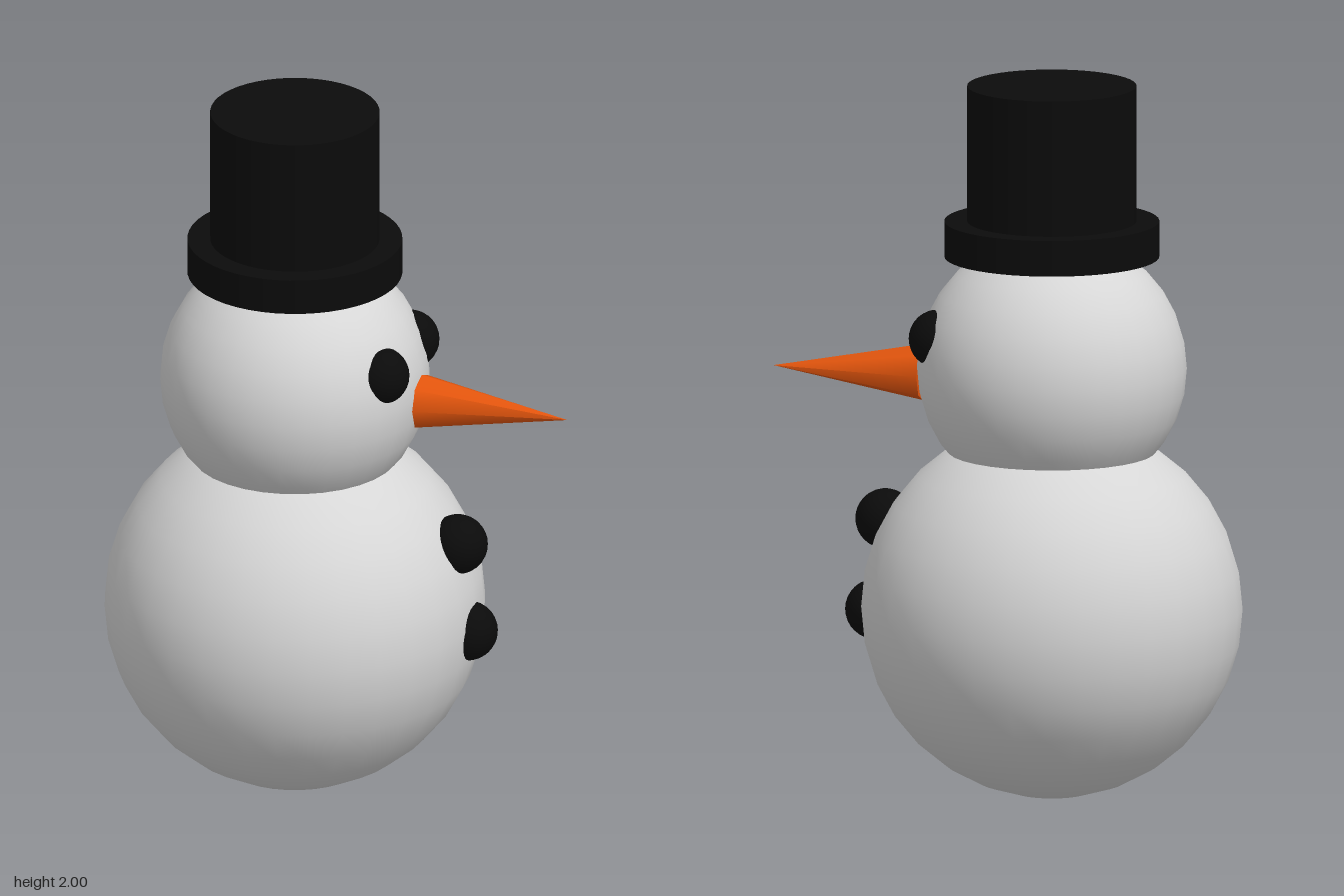
import * as THREE from 'three';

const AXIS_X = -0.134; // the upright axis of the body

function makeMaterial(name, color) {
  const m = new THREE.MeshStandardMaterial({ color });
  m.name = name;
  return m;
}

export function createModel() {
  const group = new THREE.Group();
  group.name = 'snowman';

  const snow = makeMaterial('snow white', 0xd6d6d6);
  const coal = makeMaterial('coal black', 0x0b0b0b);
  const carrot = makeMaterial('carrot orange', 0xe6560d);

  function add(name, geometry, material, x, y, z = 0) {
    const mesh = new THREE.Mesh(geometry, material);
    mesh.name = name;
    mesh.position.set(x, y, z);
    group.add(mesh);
    return mesh;
  }

  const ball = (r, w = 32, h = 16) => new THREE.SphereGeometry(r, w, h);
  const disc = (r, height) => new THREE.CylinderGeometry(r, r, height, 48);

  // Snowballs
  add('body', ball(0.527), snow, AXIS_X, 0.532);
  add('head', ball(0.373), snow, AXIS_X, 1.208);

  // Top hat
  add('hatBrim', disc(0.297, 0.1), coal, AXIS_X, 1.57);
  add('hatCrown', disc(0.234, 0.4), coal, AXIS_X, 1.8);

  // Carrot nose, pointing along +x
  const nose = add('nose', new THREE.ConeGeometry(0.079, 0.425, 8), carrot, 0.4445, 1.178);
  nose.rotation.z = -Math.PI / 2;

  // Coal eyes, mirrored in z
  for (const side of [1, -1]) {
    add(side > 0 ? 'rightEye' : 'leftEye', ball(0.081), coal, 0.157, 1.3, side * 0.134);
  }

  // Coal buttons
  add('upperButton', ball(0.083), coal, 0.339, 0.762);
  add('lowerButton', ball(0.083), coal, 0.368, 0.506);

  return group;
}
